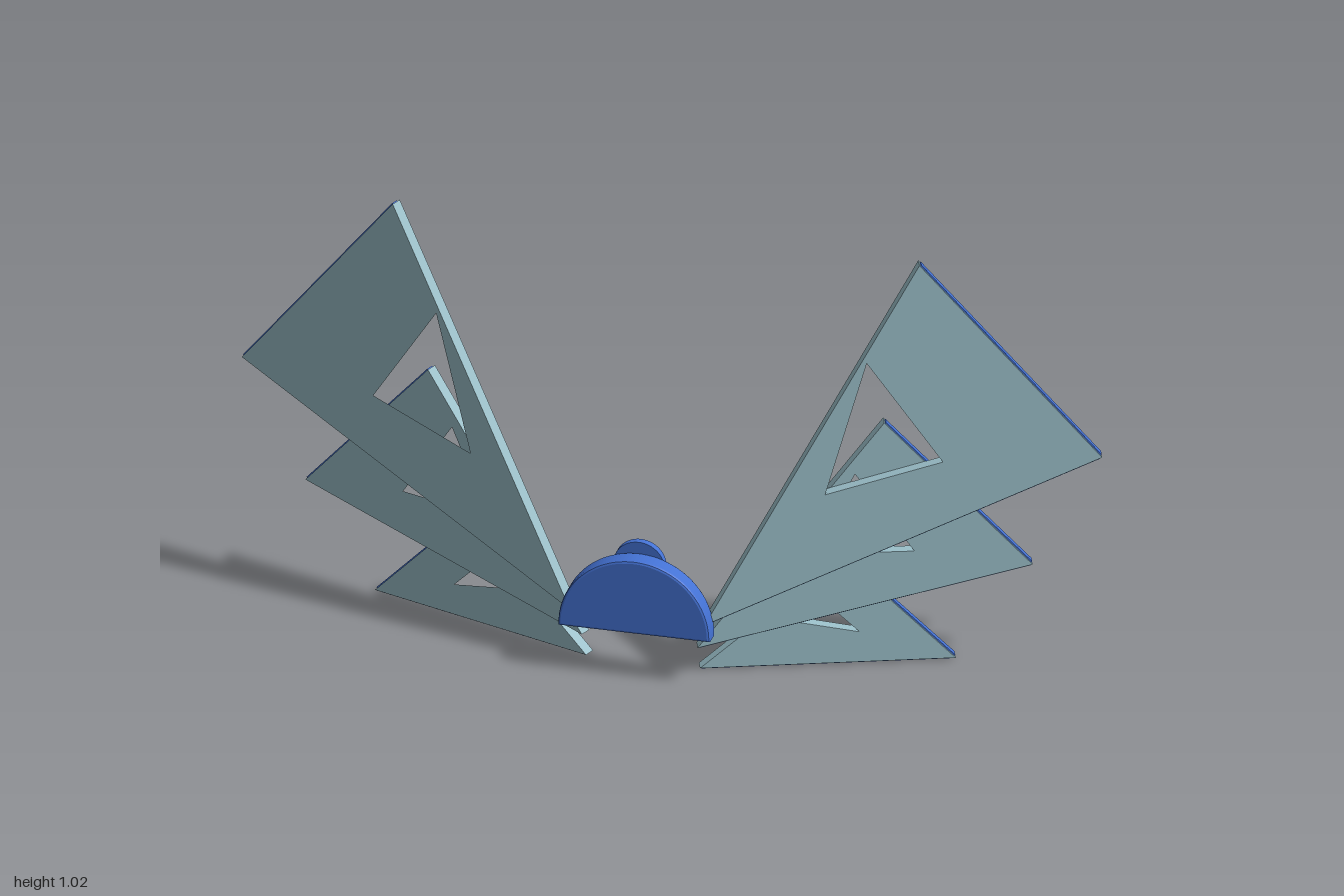
import * as THREE from 'three';

const TILT = THREE.MathUtils.degToRad(20);
const THICK = 0.028;

// Each blade: front-face distance along the wing normal,
// corners [inner, outer, apex] and the triangular cut-out.
const BLADES = [
  { name: 'upperBlade', front: 0.196,
    corners: [[0.095, 0.14], [0.992, 0.52], [0.58, 1.02]],
    hole: [[0.461, 0.78], [0.367, 0.455], [0.633, 0.525]] },
  { name: 'middleBlade', front: 0.168,
    corners: [[0.082, 0.07], [0.838, 0.245], [0.503, 0.615]],
    hole: [[0.437, 0.49], [0.338, 0.293], [0.571, 0.291]] },
  { name: 'lowerBlade', front: 0.14,
    corners: [[0.09, 0.005], [0.667, 0.005], [0.41, 0.27]],
    hole: [[0.35, 0.18], [0.265, 0.12], [0.45, 0.08]] },
];

const toPoints = (list, side) => list.map(([x, y]) => new THREE.Vector2(side * x, y));

function createBlade(blade, side, plateMaterial, trimMaterial) {
  const group = new THREE.Group();
  group.name = blade.name;

  // Plate with cut-out
  const shape = new THREE.Shape(toPoints(blade.corners, side));
  shape.holes.push(new THREE.Path(toPoints(blade.hole, side)));
  const geometry = new THREE.ExtrudeGeometry(shape, { depth: THICK, bevelEnabled: false });
  const plate = new THREE.Mesh(geometry, plateMaterial);
  plate.name = 'bladePlate';
  plate.position.z = blade.front - THICK;
  group.add(plate);

  // Thin trim strips along the lower and outer edges
  const [inner, outer, apex] = toPoints(blade.corners, side);
  for (const [a, b, name] of [[inner, outer, 'lowerTrim'], [outer, apex, 'outerTrim']]) {
    const length = a.distanceTo(b);
    const strip = new THREE.Mesh(new THREE.BoxGeometry(length - 0.008, 0.006, THICK * 0.66), trimMaterial);
    strip.name = name;
    strip.position.set((a.x + b.x) / 2, (a.y + b.y) / 2, blade.front - THICK / 2);
    strip.rotation.z = Math.atan2(b.y - a.y, b.x - a.x);
    group.add(strip);
  }
  return group;
}

function createHub(material) {
  const hub = new THREE.Group();
  hub.name = 'hub';
  const add = (name, geometry, x, y, z) => {
    const mesh = new THREE.Mesh(geometry, material);
    mesh.name = name;
    mesh.position.set(x, y, z);
    hub.add(mesh);
    return mesh;
  };

  // Half-disc with softened rim
  const bevel = 0.006;
  const half = new THREE.Shape();
  half.absarc(0, 0, 0.176 - bevel, 0, Math.PI, false);
  half.closePath();
  add('halfDisc', new THREE.ExtrudeGeometry(half, {
    depth: 0.048 - 2 * bevel, bevelThickness: bevel, bevelSize: bevel, bevelSegments: 2, curveSegments: 32,
  }), 0, 0.119, 0.136 + bevel);

  // Keyhole-shaped back plate
  const key = new THREE.Shape();
  key.absarc(0, 0.262, 0.06, -0.9, Math.PI + 0.9, false);
  key.absarc(0, 0.16, 0.042, Math.PI - 0.4, Math.PI * 2 + 0.4, false);
  key.closePath();
  add('backPlate', new THREE.ExtrudeGeometry(key, { depth: 0.018, bevelEnabled: false, curveSegments: 20 }), 0, 0, 0.12);

  // Raised ring with faceted stud
  add('studRing', new THREE.TorusGeometry(0.05, 0.007, 8, 28), 0, 0.262, 0.12);
  const stud = add('stud', new THREE.ConeGeometry(0.036, 0.03, 8).toNonIndexed(), 0, 0.262, 0.106);
  stud.geometry.computeVertexNormals();
  stud.rotation.x = -Math.PI / 2;
  return hub;
}

export function createModel() {
  const plateMaterial = new THREE.MeshStandardMaterial({ color: 0x9bbfc9 });
  plateMaterial.name = 'pale teal';
  const trimMaterial = new THREE.MeshStandardMaterial({ color: 0x4472d4 });
  trimMaterial.name = 'blue';

  const model = new THREE.Group();
  model.name = 'wingedEmblem';
  model.add(createHub(trimMaterial));

  // Mirrored swept-back wings
  for (const side of [1, -1]) {
    const wing = new THREE.Group();
    wing.name = side > 0 ? 'leftWing' : 'rightWing';
    wing.rotation.y = side * TILT;
    for (const blade of BLADES) wing.add(createBlade(blade, side, plateMaterial, trimMaterial));
    model.add(wing);
  }
  return model;
}
